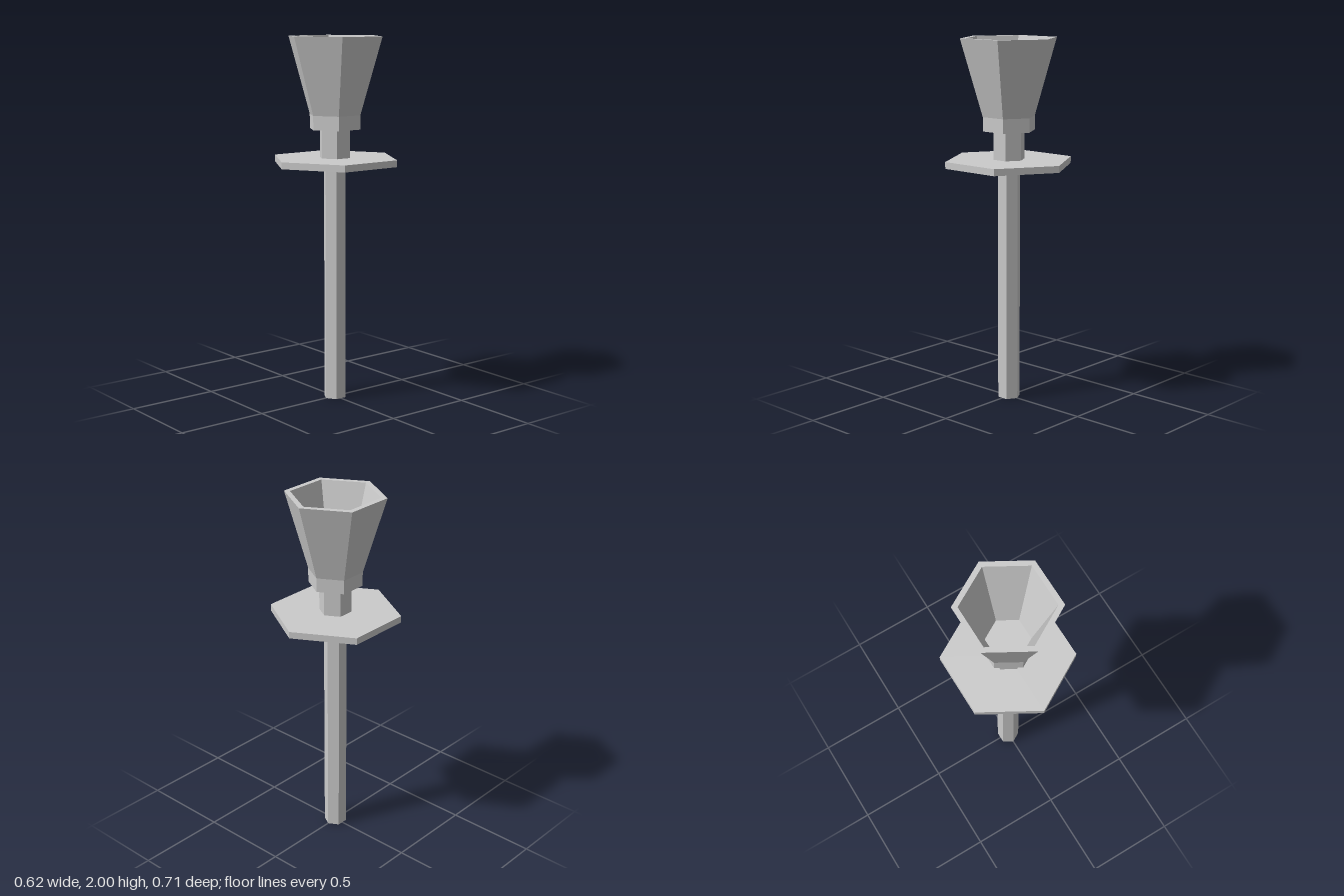
import * as THREE from 'three';

const SIDES = 6;

export function createModel() {
  const group = new THREE.Group();
  const material = new THREE.MeshStandardMaterial({ color: 0xcccccc, flatShading: true });

  const add = (name, geometry) => {
    const mesh = new THREE.Mesh(geometry, material);
    mesh.name = name;
    group.add(mesh);
  };

  // Upright hexagonal prism between two heights, corners on the z axis
  const prism = (name, radius, y0, y1) => {
    const geometry = new THREE.CylinderGeometry(radius, radius, y1 - y0, SIDES);
    add(name, geometry.translate(0, (y0 + y1) / 2, 0));
  };

  prism('handle', 0.063, 0, 1.31);
  prism('guardPlate', 0.357, 1.31, 1.347);
  prism('neck', 0.088, 1.347, 1.503);

  // Hollow flared cup: underside, foot band, outer wall, rim, inner wall, floor
  const profile = [
    [0, 1.503], [0.147, 1.503], [0.147, 1.58], [0.271, 2],
    [0.239, 2], [0.118, 1.58], [0, 1.58],
  ].map(([r, y]) => new THREE.Vector2(r, y));
  add('cup', new THREE.LatheGeometry(profile, SIDES));

  return group;
}
